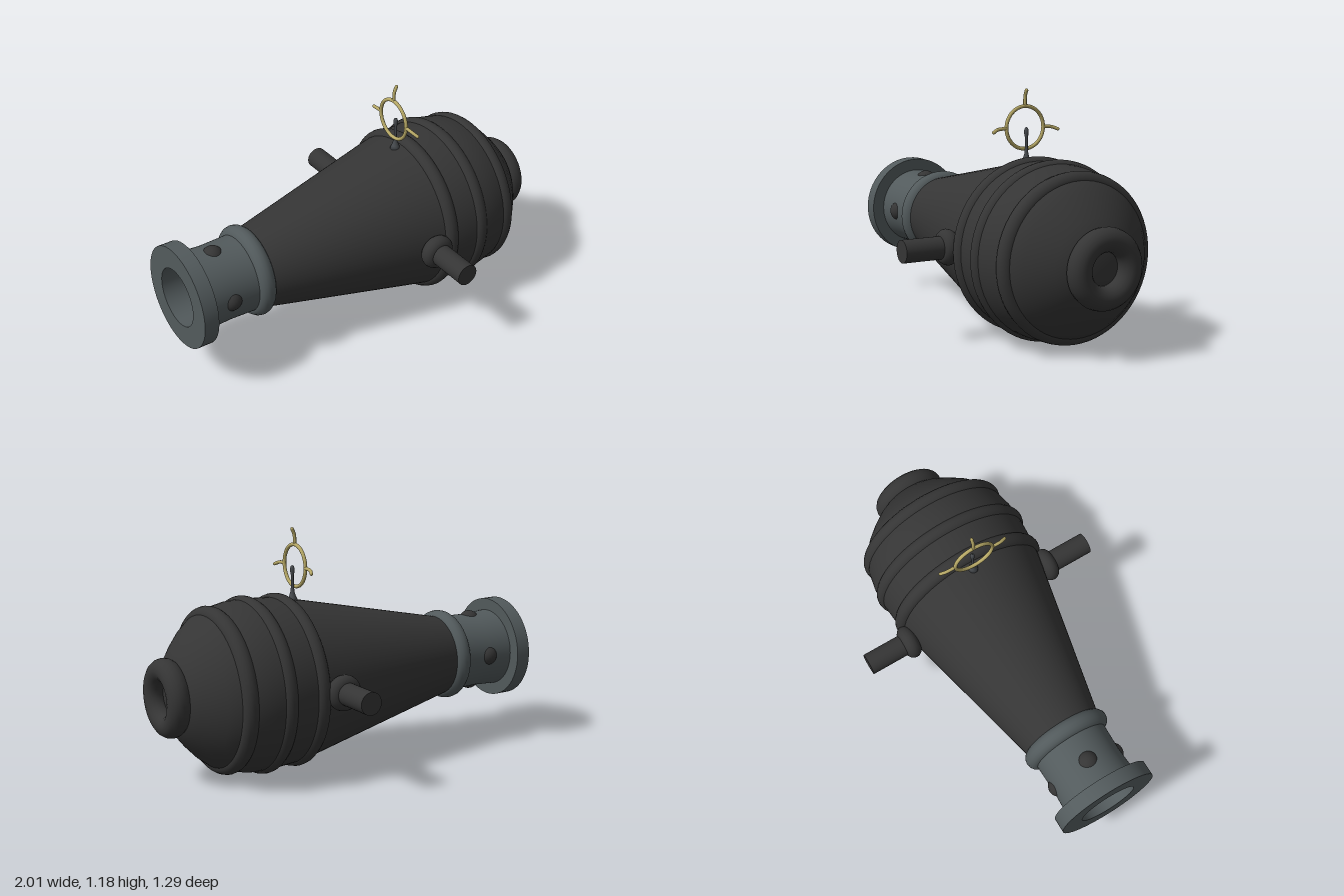
import * as THREE from 'three';
import { toCreasedNormals } from 'three/addons/utils/BufferGeometryUtils.js';

const material = (name, color) => Object.assign(new THREE.MeshStandardMaterial({ color }), { name });

export function createModel() {
  const iron = material('dark iron', 0x353535);
  const steel = material('grey steel', 0x525a5c);
  const brass = material('brass', 0xb5a765);
  const pinSteel = material('pin steel', 0x474b4f);

  const model = new THREE.Group();
  model.name = 'cannon';

  function add(parent, name, geometry, mat, x = 0, y = 0, z = 0) {
    const mesh = new THREE.Mesh(geometry, mat);
    mesh.name = name;
    mesh.position.set(x, y, z);
    parent.add(mesh);
    return mesh;
  }
  // Profile of [x, radius] points turned around the x axis
  function turned(points) {
    const g = new THREE.LatheGeometry(points.map(([x, r]) => new THREE.Vector2(r, x)), 64);
    return toCreasedNormals(g.rotateZ(-Math.PI / 2), 0.6);
  }
  const hoop = (outer, tube, segments = 64) =>
    new THREE.TorusGeometry(outer - tube, tube, 16, segments).rotateY(Math.PI / 2);

  // Barrel, tipped slightly so the muzzle sits higher
  const barrel = new THREE.Group();
  barrel.name = 'barrel';
  barrel.position.y = 0.445;
  barrel.rotation.z = -0.015;
  model.add(barrel);

  add(barrel, 'barrelBody', turned([
    [-0.62, 0], [-0.62, 0.195], [0.28, 0.396], [0.36, 0.408], [0.5, 0.418], [0.58, 0.414],
    [0.66, 0.398], [0.74, 0.365], [0.79, 0.325], [0.84, 0.272], [0.88, 0.222], [0.905, 0.183],
    [0.925, 0.14], [0.93, 0],
  ]), iron);

  // Reinforcing hoops and breech ring
  for (const [x, r, tube] of [[0.33, 0.426, 0.04], [0.508, 0.433, 0.04], [0.695, 0.405, 0.043]])
    add(barrel, 'reinforcingHoop', hoop(r, tube), iron, x);
  add(barrel, 'breechRing', hoop(0.19, 0.057), iron, 0.943);

  // Hollow muzzle with flange
  add(barrel, 'muzzle', turned([
    [-0.625, 0], [-0.625, 0.148], [-1, 0.148], [-1, 0.258], [-0.925, 0.258], [-0.925, 0.197],
    [-0.8, 0.19], [-0.66, 0.194], [-0.6, 0.2],
  ]), steel);
  add(barrel, 'muzzleRing', hoop(0.23, 0.046), steel, -0.62);

  // Four round studs set through the muzzle wall
  for (let i = 0; i < 4; i++) {
    const a = i * Math.PI / 2;
    add(barrel, 'muzzleStud', new THREE.SphereGeometry(0.053, 24, 16), iron,
      -0.8, 0.157 * Math.cos(a), 0.157 * Math.sin(a));
  }

  // Trunnions with collars
  for (const side of [1, -1]) {
    const trunnion = new THREE.Group();
    trunnion.name = side > 0 ? 'frontTrunnion' : 'backTrunnion';
    trunnion.position.set(0.227, 0.45, 0);
    add(trunnion, 'trunnionPin', new THREE.CylinderGeometry(0.055, 0.055, 0.345, 32).rotateX(Math.PI / 2),
      iron, 0, 0, side * 0.4725);
    add(trunnion, 'trunnionCollar', new THREE.TorusGeometry(0.047, 0.04, 16, 40), iron, 0, 0, side * 0.41);
    model.add(trunnion);
  }

  // Sight post: flared foot, thin stem, rounded head
  const post = [[0, 0.82], [0.03, 0.82], [0.018, 0.845], [0.01, 0.87], [0.007, 0.9], [0.007, 0.95],
    [0.011, 0.97], [0.011, 0.985], [0.007, 0.996], [0, 1]];
  add(model, 'sightPost', new THREE.LatheGeometry(post.map(p => new THREE.Vector2(...p)), 20), pinSteel, 0.268);

  // Sight ring with three bent prongs
  const sight = new THREE.Group();
  sight.name = 'sight';
  sight.position.set(0.254, 0.997, 0);
  model.add(sight);
  add(sight, 'sightRing', hoop(0.111, 0.009, 48), brass);
  const prongs = [
    [[0, 0.105, 0], [0.002, 0.15, 0], [0.014, 0.178, 0]],
    [[0, 0, 0.105], [0.002, -0.004, 0.15], [0.012, -0.015, 0.178]],
    [[0, 0, -0.105], [0.002, -0.004, -0.15], [0.012, -0.015, -0.178]],
  ];
  for (const points of prongs) {
    const curve = new THREE.CatmullRomCurve3(points.map(p => new THREE.Vector3(...p)));
    add(sight, 'sightProng', new THREE.TubeGeometry(curve, 12, 0.0085, 10), brass);
    add(sight, 'prongTip', new THREE.SphereGeometry(0.0085, 12, 8), brass, ...points[2]);
  }
  return model;
}
